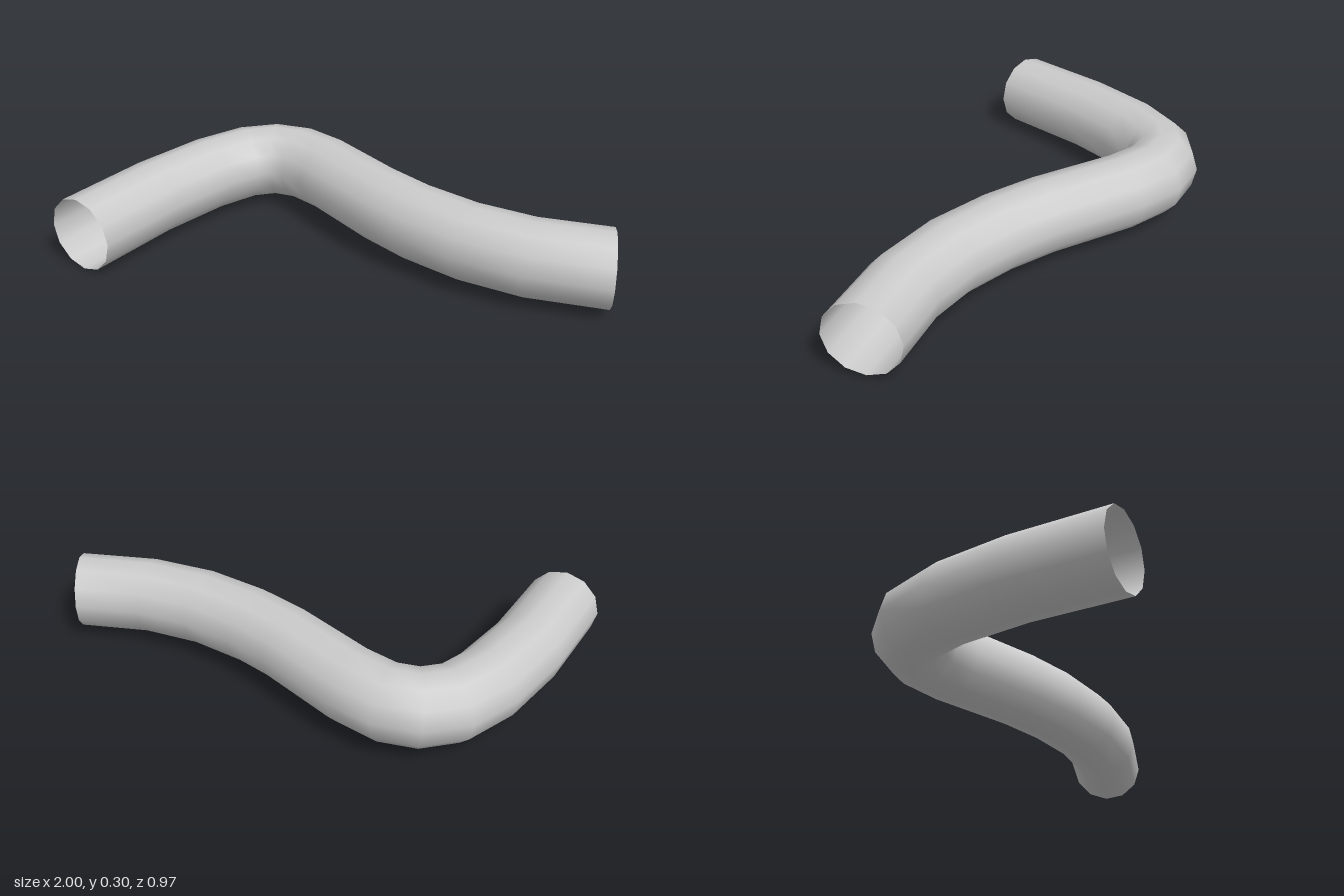
import * as THREE from 'three';

// Centre line as [x, y, z]; the first and last points only steer the end tangents
const PATH = [
  [-0.97, 0.14, 0.79],
  [-0.865, 0.143, 0.44],
  [-0.748, 0.151, 0.09],
  [-0.63, 0.158, -0.157],
  [-0.524, 0.163, -0.297],
  [-0.422, 0.167, -0.35],
  [-0.31, 0.168, -0.345],
  [-0.178, 0.168, -0.28],
  [0.09, 0.167, -0.09],
  [0.26, 0.165, 0.007],
  [0.47, 0.163, 0.09],
  [0.697, 0.16, 0.13],
  [0.974, 0.157, 0.116],
  [1.25, 0.155, 0.03],
];
const RADIUS = 0.14;
const SIDES = 12;

// Curve that places one ring exactly on each inner path point
class PipePath extends THREE.Curve {
  constructor(points) {
    super();
    this.spline = new THREE.CatmullRomCurve3(points.map((p) => new THREE.Vector3(...p)));
    this.spans = points.length - 1;
  }
  toSpline(t) {
    return (1 + t * (this.spans - 2)) / this.spans;
  }
  getPointAt(t, target) {
    return this.spline.getPoint(this.toSpline(t), target);
  }
  getTangentAt(t, target) {
    return this.spline.getTangent(this.toSpline(t), target);
  }
}

export function createModel() {
  const group = new THREE.Group();
  group.name = 'bentPipe';

  // Thin open-ended pipe, visible inside and out
  const pipe = new THREE.Mesh(
    new THREE.TubeGeometry(new PipePath(PATH), PATH.length - 3, RADIUS, SIDES, false),
    new THREE.MeshStandardMaterial({ color: 0xcccccc, side: THREE.DoubleSide }),
  );
  pipe.name = 'pipe';
  group.add(pipe);

  return group;
}
